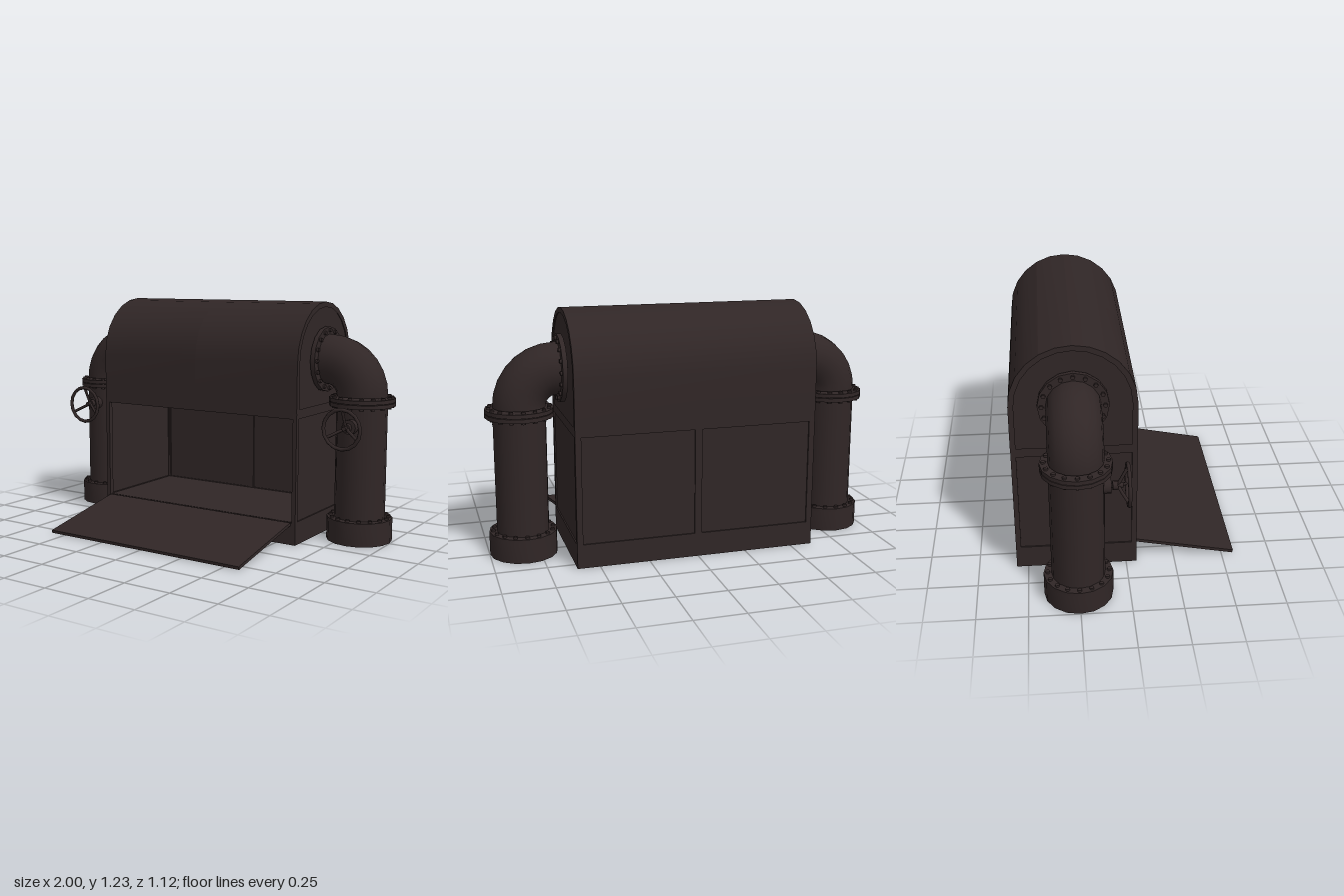
import * as THREE from 'three';
import { mergeGeometries, toCreasedNormals } from 'three/addons/utils/BufferGeometryUtils.js';

const ZC = -0.2525, R = 0.306, SPRING = 0.926, HALF = 0.612;
const PIPE_X = 0.828, PIPE_R = 0.131, FLANGE_R = 0.17;

export function createModel() {
  const model = new THREE.Group();
  model.name = 'pipedBoilerCabinet';
  const iron = new THREE.MeshStandardMaterial({ color: 0x302626 });
  iron.name = 'dark iron';

  const add = (parent, name, geo, x = 0, y = 0, z = 0) => {
    const mesh = new THREE.Mesh(geo, iron);
    mesh.name = name;
    mesh.position.set(x, y, z);
    parent.add(mesh);
    return mesh;
  };
  const box = (parent, name, w, h, d, x, y, z) =>
    add(parent, name, new THREE.BoxGeometry(w, h, d), x, y, z);

  // Points on an arc measured from the crown; u runs towards the back
  const arc = (r, from, to, n) => Array.from({ length: n + 1 }, (_, i) => {
    const a = THREE.MathUtils.degToRad(from + (to - from) * i / n);
    return new THREE.Vector2(r * Math.sin(a), SPRING + r * Math.cos(a));
  });
  const rect = (x0, y0, x1, y1) => [[x0, y0], [x1, y0], [x1, y1], [x0, y1]].map(p => new THREE.Vector2(...p));
  const archPoints = (r, y0) => [new THREE.Vector2(-r, y0), ...arc(r, -90, 90, 12), new THREE.Vector2(r, y0)];
  const extrude = (points, depth, holes = []) => {
    const shape = new THREE.Shape(points);
    holes.forEach(h => shape.holes.push(new THREE.Path(h)));
    return new THREE.ExtrudeGeometry(shape, { depth, bevelEnabled: false });
  };
  // Extrude sideways, along x from x0
  const alongX = (parent, name, geo, x0) =>
    add(parent, name, toCreasedNormals(geo.rotateY(Math.PI / 2), 0.6), x0, 0, ZC);

  const cabinet = new THREE.Group();
  cabinet.name = 'cabinet';
  model.add(cabinet);

  // Arched end walls: a frame with recessed panels
  for (const s of [-1, 1]) {
    const holes = [rect(-0.28, 0.12, 0.28, 0.652), archPoints(0.28, 0.70)];
    alongX(cabinet, 'endFrame', extrude(archPoints(R, 0), 0.022, holes), s > 0 ? HALF - 0.022 : -HALF);
    alongX(cabinet, 'endPanel', extrude(archPoints(0.285, 0.1), 0.008), s * (HALF - 0.011) - 0.004);
  }

  // Curved covers, each a thin band
  const cover = (name, from, to, n, legY, x0, x1) => {
    const band = r => {
      const pts = arc(r, from, to, n);
      if (legY) pts.push(new THREE.Vector2(Math.sign(to) * r, legY));
      return pts;
    };
    alongX(cabinet, name, extrude([...band(R + 0.001), ...band(R - 0.02).reverse()], x1 - x0), x0);
  };
  for (const s of [-1, 1]) {
    cover('crownStrip', 0, s * 30, 2, 0, -HALF, HALF);
    cover('frontCover', -30, -90, 4, 0.68, s < 0 ? -HALF : 0, s < 0 ? 0 : HALF);
  }
  cover('backCover', 30, 90, 4, 0.68, -HALF, HALF);

  // Back wall with two recessed panels
  const backHoles = [rect(-0.582, 0.12, -0.018, 0.652), rect(0.018, 0.12, 0.582, 0.652)];
  add(cabinet, 'backFrame', extrude(rect(-HALF + 0.001, 0, HALF - 0.001, 0.681), 0.022, backHoles), 0, 0, ZC - R);
  box(cabinet, 'backPanel', 1.18, 0.55, 0.008, 0, 0.386, ZC - R + 0.011);

  // Front lintel, skirt, floor and lowered door
  const front = ZC + R;
  box(cabinet, 'frontLintel', 1.2, 0.03, 0.02, 0, 0.666, front - 0.01);
  box(cabinet, 'frontSkirt', 1.2, 0.115, 0.02, 0, 0.0575, front - 0.01);
  box(cabinet, 'floor', 1.2, 0.02, 0.59, 0, 0.107, ZC);
  const door = box(cabinet, 'loweredDoor', 1.17, 0.016, 0.514, 0, 0.0595, 0.307);
  door.rotation.x = Math.atan2(0.1, 0.505);

  // Flange: discs stacked on y with a ring of bolts through them
  const flange = (parent, name, discs, boltY, boltH) => {
    const group = new THREE.Group();
    group.name = name;
    parent.add(group);
    discs.forEach(([y, h]) => add(group, 'flangeDisc',
      toCreasedNormals(new THREE.CylinderGeometry(FLANGE_R, FLANGE_R, h, 16), 0.6), 0, y, 0));
    const bolts = Array.from({ length: 16 }, (_, i) => {
      const a = i * Math.PI / 8;
      return new THREE.CylinderGeometry(0.011, 0.011, boltH, 6)
        .translate(0.15 * Math.sin(a), boltY, 0.15 * Math.cos(a));
    });
    add(group, 'flangeBolts', mergeGeometries(bolts));
    return group;
  };

  // Hollow foot profile, from the inside cap round to the top
  const footProfile = [[0, 0.075], [0.152, 0.075], [0.152, 0], [0.17, 0], [0.17, 0.115], [0.12, 0.115]]
    .map(p => new THREE.Vector2(...p));

  for (const s of [-1, 1]) {
    const pipe = new THREE.Group();
    pipe.name = s > 0 ? 'leftPipe' : 'rightPipe';
    pipe.position.set(s * PIPE_X, 0, ZC);
    pipe.rotation.y = s > 0 ? 0 : Math.PI;
    model.add(pipe);

    // Upright pipe and foot
    add(pipe, 'pipeFoot', toCreasedNormals(new THREE.LatheGeometry(footProfile, 16), 0.6));
    add(pipe, 'uprightPipe', new THREE.CylinderGeometry(PIPE_R, PIPE_R, 0.62, 16, 1, true), 0, 0.42, 0);
    flange(pipe, 'footFlange', [[0.113, 0.018]], 0.12, 0.025);
    flange(pipe, 'upperFlange', [[0.716, 0.02], [0.739, 0.02]], 0.728, 0.062);

    // Elbow into the end wall
    const bend = 0.18, inner = bend - PIPE_X;
    add(pipe, 'elbow', new THREE.TorusGeometry(bend, PIPE_R, 16, 7, Math.PI / 2), -bend, 0.755, 0);
    const stub = add(pipe, 'elbowStub', new THREE.CylinderGeometry(PIPE_R, PIPE_R, 0.05, 16, 1, true),
      -bend - 0.02, 0.755 + bend, 0);
    stub.rotation.z = Math.PI / 2;
    const wall = flange(pipe, 'wallFlange', [[0, 0.024]], 0.008, 0.03);
    wall.position.set(HALF + 0.012 - PIPE_X, 0.755 + bend, 0);
    wall.rotation.z = -Math.PI / 2;

    // Valve on the front of the pipe: boss, stem, wheel with three spokes
    const valve = new THREE.Group();
    valve.name = 'valve';
    valve.position.set(s * PIPE_X, 0.612, 0);
    model.add(valve);
    const rod = (name, r, z0, z1, sides) => {
      const mesh = add(valve, name, new THREE.CylinderGeometry(r, r, z1 - z0, sides), 0, 0, (z0 + z1) / 2);
      mesh.rotation.x = Math.PI / 2;
    };
    rod('valveBoss', 0.038, -0.14, -0.092, 12);
    rod('valveStem', 0.012, -0.1, -0.035, 8);
    rod('wheelHub', 0.022, -0.085, -0.06, 8);
    add(valve, 'wheelRim', new THREE.TorusGeometry(0.1, 0.01, 6, 16), 0, 0, -0.011);
    for (let i = 0; i < 3; i++) {
      const a = Math.PI / 2 + i * Math.PI * 2 / 3;
      const path = new THREE.LineCurve3(new THREE.Vector3(0, 0, -0.062),
        new THREE.Vector3(0.1 * Math.cos(a), 0.1 * Math.sin(a), -0.012));
      add(valve, 'wheelSpoke', new THREE.TubeGeometry(path, 1, 0.008, 6));
    }
  }
  return model;
}
